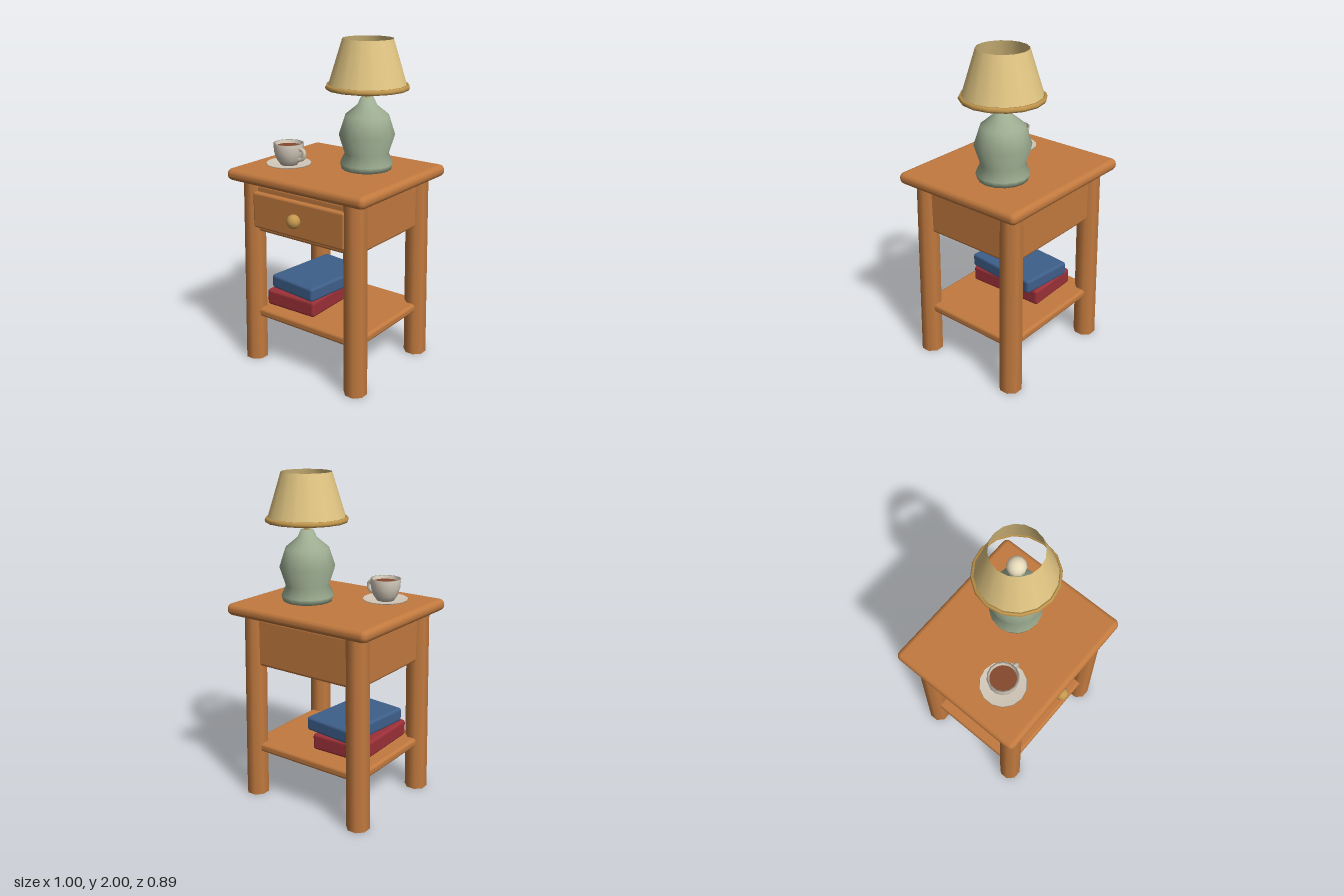
import * as THREE from 'three';
import { RoundedBoxGeometry } from 'three/addons/geometries/RoundedBoxGeometry.js';

const paint = (name, color) => {
  const m = new THREE.MeshStandardMaterial({ color });
  m.name = name;
  return m;
};

export function createModel() {
  const root = new THREE.Group();
  root.name = 'bedsideTable';

  const wood = paint('wood', 0xc27a3f);
  const brass = paint('brass', 0xc4984e);
  const green = paint('greenCeramic', 0x9eae92);
  const fabric = paint('shadeFabric', 0xe2c683);
  fabric.side = THREE.DoubleSide;
  const glow = paint('bulbCream', 0xe8dcbc);
  const china = paint('china', 0xd3c9ba);
  china.side = THREE.DoubleSide;
  const tea = paint('tea', 0x85492c);
  const red = paint('redCover', 0x9c3038);
  const blue = paint('blueCover', 0x3e5f8a);

  const add = (parent, name, geo, mat, x = 0, y = 0, z = 0) => {
    const mesh = new THREE.Mesh(geo, mat);
    mesh.name = name;
    mesh.position.set(x, y, z);
    parent.add(mesh);
    return mesh;
  };
  const box = (name, mat, size, pos, r) =>
    add(root, name, new RoundedBoxGeometry(...size, 2, r), mat, ...pos);
  const lathe = (pts, n) =>
    new THREE.LatheGeometry(pts.map(([x, y]) => new THREE.Vector2(x, y)), n);

  // Table body
  const cz = -0.006;
  box('tableTop', wood, [1, 0.073, 0.877], [0, 1.204, -0.01], 0.034);
  box('apron', wood, [0.8, 0.295, 0.71], [0, 1.008, cz], 0.02);
  box('shelf', wood, [0.83, 0.056, 0.72], [0, 0.323, cz], 0.02);
  box('drawerFront', wood, [0.676, 0.223, 0.06], [0, 1.002, 0.345], 0.016);
  const knob = add(root, 'drawerKnob', new THREE.SphereGeometry(0.042, 12, 8), brass, 0, 1.003, 0.402);
  knob.scale.z = 0.95;

  // Eight-sided legs, leaning slightly inward towards the top
  for (const sx of [-1, 1]) for (const sz of [-1, 1]) {
    const h = 1.19;
    const geo = new THREE.CylinderGeometry(0.068, 0.071, h, 8);
    geo.rotateY(Math.PI / 8).translate(0, h / 2, 0);
    const p = geo.attributes.position;
    for (let i = 0; i < p.count; i++) {
      const t = p.getY(i) / h;
      p.setX(i, p.getX(i) - sx * 0.018 * t);
      p.setZ(i, p.getZ(i) - sz * 0.007 * t);
    }
    add(root, (sz > 0 ? 'front' : 'back') + (sx > 0 ? 'Left' : 'Right') + 'Leg',
      geo, wood, sx * 0.388, 0, cz + sz * 0.329);
  }

  // Books on the shelf
  box('lowerBook', red, [0.36, 0.102, 0.51], [-0.155, 0.403, 0.02], 0.018).rotation.y = 0.03;
  box('upperBook', blue, [0.35, 0.088, 0.5], [-0.12, 0.5, 0.013], 0.018).rotation.y = -0.1;

  // Lamp
  const lamp = new THREE.Group();
  lamp.name = 'lamp';
  lamp.position.set(0.16, 0, -0.09);
  root.add(lamp);
  add(lamp, 'lampBase', lathe([[0, 1.24], [0.148, 1.24], [0.158, 1.275], [0.131, 1.335],
    [0.167, 1.447], [0.13, 1.56], [0.058, 1.62], [0.038, 1.665], [0, 1.665]], 16), green);
  add(lamp, 'lampStem', new THREE.CylinderGeometry(0.015, 0.015, 0.14, 8), brass, 0, 1.72, 0);
  add(lamp, 'bulb', new THREE.SphereGeometry(0.056, 12, 8), glow, 0, 1.82, 0);
  add(lamp, 'lampShade', lathe([[0.236, 1.72], [0.149, 2.0]], 16), fabric);
  add(lamp, 'shadeTrim', lathe([[0.23, 1.72], [0.241, 1.713], [0.247, 1.726],
    [0.24, 1.741], [0.226, 1.741], [0.23, 1.72]], 16), brass);

  // Cup of tea on its saucer
  const cup = new THREE.Group();
  cup.name = 'teacup';
  cup.position.set(-0.24, 0, 0.15);
  root.add(cup);
  add(cup, 'saucer', lathe([[0, 1.241], [0.085, 1.241], [0.137, 1.256], [0.135, 1.261],
    [0.085, 1.25], [0, 1.25]], 14), china);
  add(cup, 'cupBowl', lathe([[0, 1.25], [0.052, 1.25], [0.074, 1.282], [0.087, 1.325],
    [0.092, 1.381], [0.08, 1.381], [0.074, 1.33], [0.05, 1.28]], 14), china);
  add(cup, 'teaSurface', new THREE.CircleGeometry(0.078, 14).rotateX(-Math.PI / 2), tea, 0, 1.362, 0);
  const curve = new THREE.CatmullRomCurve3([[0.08, 1.355], [0.108, 1.35], [0.12, 1.328],
    [0.108, 1.298], [0.072, 1.285]].map(([x, y]) => new THREE.Vector3(x, y, 0)));
  add(cup, 'cupHandle', new THREE.TubeGeometry(curve, 8, 0.013, 6), china);

  return root;
}
